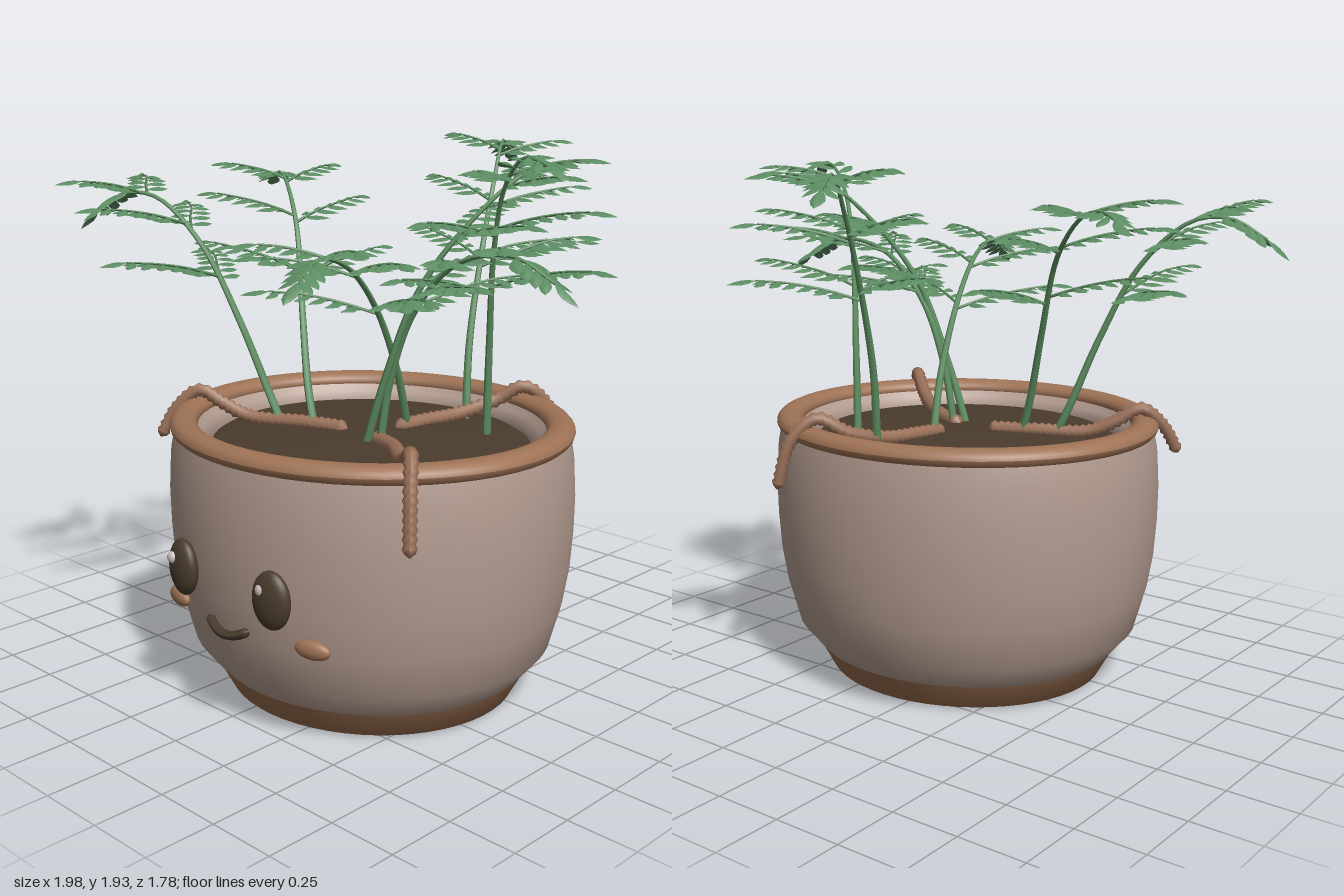
import * as THREE from 'three';
import { mergeGeometries } from 'three/addons/utils/BufferGeometryUtils.js';

const mat = (name, color, side = THREE.FrontSide) => {
  const m = new THREE.MeshStandardMaterial({ color, side });
  m.name = name;
  return m;
};
const V = (p) => new THREE.Vector3(...p);
const UP = new THREE.Vector3(0, 1, 0);
const CX = 0.097, CZ = 0.16, SQUASH = 0.925; // the pot is slightly oval

function add(parent, name, geometry, material) {
  const mesh = new THREE.Mesh(geometry, material);
  mesh.name = name;
  parent.add(mesh);
  return mesh;
}

// Tube whose radius follows a rule of t (0 to 1) and ring number
function taperedTube(curve, segments, sides, radiusAt) {
  const g = new THREE.TubeGeometry(curve, segments, 1, sides, false);
  const pos = g.attributes.position, p = new THREE.Vector3();
  for (let v = 0; v < pos.count; v++) {
    const i = Math.floor(v / (sides + 1)), c = curve.getPointAt(i / segments);
    p.fromBufferAttribute(pos, v).sub(c).multiplyScalar(radiusAt(i / segments, i)).add(c);
    pos.setXYZ(v, p.x, p.y, p.z);
  }
  g.computeVertexNormals();
  return g;
}

// Unit leaflet along +z: pointed oval, roof-shaped over the midrib, curving down
function leafletGeometry() {
  const widths = [0.03, 0.19, 0.24, 0.16, 0], pos = [], idx = [];
  widths.forEach((w, i) => {
    const t = i / 4, y = 0.1 * t - 0.34 * t * t;
    pos.push(-w, y - w * 0.6, t, 0, y, t, w, y - w * 0.6, t);
    if (i < 4) for (const k of [0, 1]) {
      const a = i * 3 + k;
      idx.push(a, a + 3, a + 1, a + 1, a + 3, a + 4);
    }
  });
  const g = new THREE.BufferGeometry();
  g.setAttribute('position', new THREE.Float32BufferAttribute(pos, 3));
  g.setIndex(idx);
  g.computeVertexNormals();
  return g;
}
const LEAFLET = leafletGeometry();

function leaflet(at, dir, length) {
  const z = dir.clone().normalize();
  const x = new THREE.Vector3().crossVectors(UP, z).normalize();
  const y = new THREE.Vector3().crossVectors(z, x);
  const m = new THREE.Matrix4().makeBasis(x, y, z).scale(new THREE.Vector3(length, length, length));
  return LEAFLET.clone().applyMatrix4(m.setPosition(at));
}

// Leaflet pairs along a curve from t0 to its tip, with one at the end
function leafletRow(curve, t0, pairs, size, out) {
  for (let i = 0; i < pairs; i++) for (const s of [-1, 1]) {
    const t = t0 + (1 - t0) * (i + (s > 0 ? 0.45 : 0)) / pairs;
    const d = curve.getTangentAt(t);
    const side = new THREE.Vector3().crossVectors(UP, d).normalize().multiplyScalar(s);
    out.push(leaflet(curve.getPointAt(t), d.multiplyScalar(0.75).add(side), size * (1 - 0.25 * i / pairs)));
  }
  out.push(leaflet(curve.getPointAt(1), curve.getTangentAt(1), size));
}

function frond(points, green, leafGreen) {
  const group = new THREE.Group();
  group.name = 'frond';
  const spine = new THREE.CatmullRomCurve3(points.map(V));
  const stalks = [taperedTube(spine, 28, 7, (t) => 0.016 - 0.011 * t)], leaves = [];
  // Side branches in pairs, rising slightly, shorter toward the tip
  [[0.46, 0.35], [0.64, 0.3], [0.82, 0.21]].forEach(([t, len]) => {
    for (const s of [-1, 1]) {
      const start = spine.getPointAt(t + s * 0.012);
      const f = spine.getTangentAt(t).setY(0).normalize();
      const side = new THREE.Vector3().crossVectors(UP, f).multiplyScalar(s);
      const along = (a, b, h) => start.clone().addScaledVector(side, a * len).addScaledVector(f, b * len).addScaledVector(UP, h * len);
      const branch = new THREE.CatmullRomCurve3([start, along(0.3, 0.2, 0.12), along(0.62, 0.38, 0.2), along(0.88, 0.6, 0.24)]);
      stalks.push(taperedTube(branch, 8, 5, (u) => 0.006 - 0.003 * u));
      leafletRow(branch, 0.14, Math.round(len * 17), 0.096, leaves);
    }
  });
  leafletRow(spine, 0.86, 4, 0.105, leaves);
  add(group, 'stem', mergeGeometries(stalks), green);
  add(group, 'leaflets', mergeGeometries(leaves), leafGreen);
  return group;
}

export function createModel() {
  const model = new THREE.Group();
  model.name = 'pottedPlant';
  const clay = mat('clay', 0xb39c90);
  const brown = mat('brown', 0x9f7356);
  const baseBrown = mat('baseBrown', 0x966b4d);
  const rootBrown = mat('rootBrown', 0x997058);
  const dark = mat('darkSoil', 0x4a3c2d);
  const shine = mat('eyeShine', 0xcfc4be);
  const green = mat('stemGreen', 0x5f9062);
  const leafGreen = mat('leafGreen', 0x5c8c62, THREE.DoubleSide);

  // Pot, turned from profiles
  const pot = new THREE.Group();
  pot.name = 'pot';
  pot.position.set(CX, 0, CZ);
  pot.scale.z = SQUASH;
  model.add(pot);
  const lathe = (name, profile, material) =>
    add(pot, name, new THREE.LatheGeometry(profile.map(([r, y]) => new THREE.Vector2(r, y)), 56), material);
  lathe('body', [[0.595, 0.11], [0.672, 0.2], [0.714, 0.35], [0.736, 0.48], [0.746, 0.62], [0.748, 0.75], [0.74, 0.88], [0.724, 0.96]], clay);
  lathe('innerWall', [[0.648, 0.97], [0.622, 0.94], [0.585, 0.9], [0.6, 0.6], [0.57, 0.25], [0.48, 0.12], [0.15, 0.12]], clay);
  lathe('base', [[0.15, 0.12], [0.14, 0.07], [0.17, 0.035], [0.21, 0.04], [0.28, 0.065], [0.36, 0.06], [0.45, 0.02], [0.5, 0.003], [0.54, 0.012], [0.595, 0.11]], baseBrown);
  const ring = [];
  for (let i = 0; i <= 16; i++) {
    const a = i / 16 * Math.PI * 2;
    ring.push([0.691 + 0.052 * Math.cos(a), 0.97 + 0.035 * Math.sin(a)]);
  }
  lathe('rim', ring, brown);
  lathe('soil', [[0.59, 0.9], [0.56, 0.918], [0.35, 0.93], [0, 0.935]], dark);

  // Face
  const face = new THREE.Group();
  face.name = 'face';
  model.add(face);
  const ball = (name, x, y, z, sx, sy, sz, material) => {
    const m = add(face, name, new THREE.SphereGeometry(1, 24, 16), material);
    m.position.set(x, y, z);
    m.scale.set(sx, sy, sz);
    return m;
  };
  for (const s of [-1, 1]) {
    const ex = CX + s * 0.222;
    ball('eye', ex, 0.547, 0.842, 0.075, 0.1, 0.038, dark).rotation.y = s * 0.15;
    ball('eyeHighlight', ex - 0.022, 0.583, 0.871 - s * 0.002, 0.021, 0.021, 0.014, shine);
    ball('cheek', CX + s * 0.337, 0.39, 0.773, 0.067, 0.033, 0.024, brown).rotation.y = s * 0.25;
  }
  const smile = new THREE.CatmullRomCurve3([[-0.005, 0.404, 0.835], [0.045, 0.38, 0.85], [0.097, 0.37, 0.855], [0.149, 0.38, 0.85], [0.199, 0.404, 0.835]].map(V));
  add(face, 'mouth', taperedTube(smile, 16, 8, (t) => (t === 0 || t === 1 ? 0.004 : 0.016)), dark);

  // Ridged roots creeping over the rim
  [
    [[0.02, 0.935, 0.2], [-0.15, 0.94, 0.26], [-0.34, 0.945, 0.35], [-0.43, 0.99, 0.4], [-0.5, 1.035, 0.45], [-0.56, 0.97, 0.51], [-0.6, 0.86, 0.56]],
    [[0.165, 0.93, 0.21], [0.32, 0.94, 0.28], [0.47, 0.95, 0.4], [0.57, 0.99, 0.48], [0.65, 1.03, 0.55], [0.695, 0.93, 0.6], [0.73, 0.74, 0.64]],
    [[0.135, 0.935, 0.07], [0.155, 0.94, -0.06], [0.19, 0.945, -0.2], [0.25, 0.98, -0.34], [0.33, 1.035, -0.42], [0.39, 0.96, -0.49], [0.43, 0.78, -0.53]],
  ].forEach((pts) => {
    const curve = new THREE.CatmullRomCurve3(pts.map(V));
    add(model, 'root', taperedTube(curve, 64, 9, (t, i) =>
      t === 0 || t === 1 ? 0.002 : (0.031 - 0.006 * t) * (i % 2 ? 0.74 : 1)), rootBrown);
  });

  // Fern fronds: left pair, front, back, right group
  [
    [[-0.22, 0.91, 0.29], [-0.28, 1.05, 0.31], [-0.37, 1.3, 0.36], [-0.5, 1.57, 0.42], [-0.67, 1.73, 0.48], [-0.8, 1.74, 0.53], [-0.92, 1.67, 0.57]],
    [[-0.1, 0.91, 0.245], [-0.15, 1.06, 0.23], [-0.24, 1.33, 0.17], [-0.36, 1.61, 0.08], [-0.52, 1.76, -0.02], [-0.65, 1.79, -0.1], [-0.73, 1.77, -0.15]],
    [[0.14, 0.91, 0.01], [0.17, 1.15, 0.1], [0.2, 1.4, 0.24], [0.25, 1.56, 0.42], [0.3, 1.61, 0.6], [0.35, 1.56, 0.74]],
    [[0.2, 0.91, -0.24], [0.17, 1.2, -0.29], [0.13, 1.52, -0.4], [0.07, 1.78, -0.54], [0, 1.91, -0.67], [-0.07, 1.87, -0.8]],
    [[0.2, 0.91, 0.22], [0.25, 1.15, 0.22], [0.35, 1.4, 0.21], [0.53, 1.58, 0.2], [0.74, 1.62, 0.18], [0.9, 1.55, 0.17]],
    [[0.4, 0.91, -0.12], [0.43, 1.25, -0.09], [0.5, 1.6, -0.02], [0.59, 1.82, 0.04], [0.69, 1.92, 0.07], [0.79, 1.9, 0.08]],
    [[0.17, 0.91, 0.26], [0.25, 1.15, 0.25], [0.36, 1.47, 0.2], [0.48, 1.7, 0.08], [0.59, 1.86, -0.08], [0.66, 1.89, -0.21]],
  ].forEach((pts) => model.add(frond(pts, green, leafGreen)));

  return model;
}
